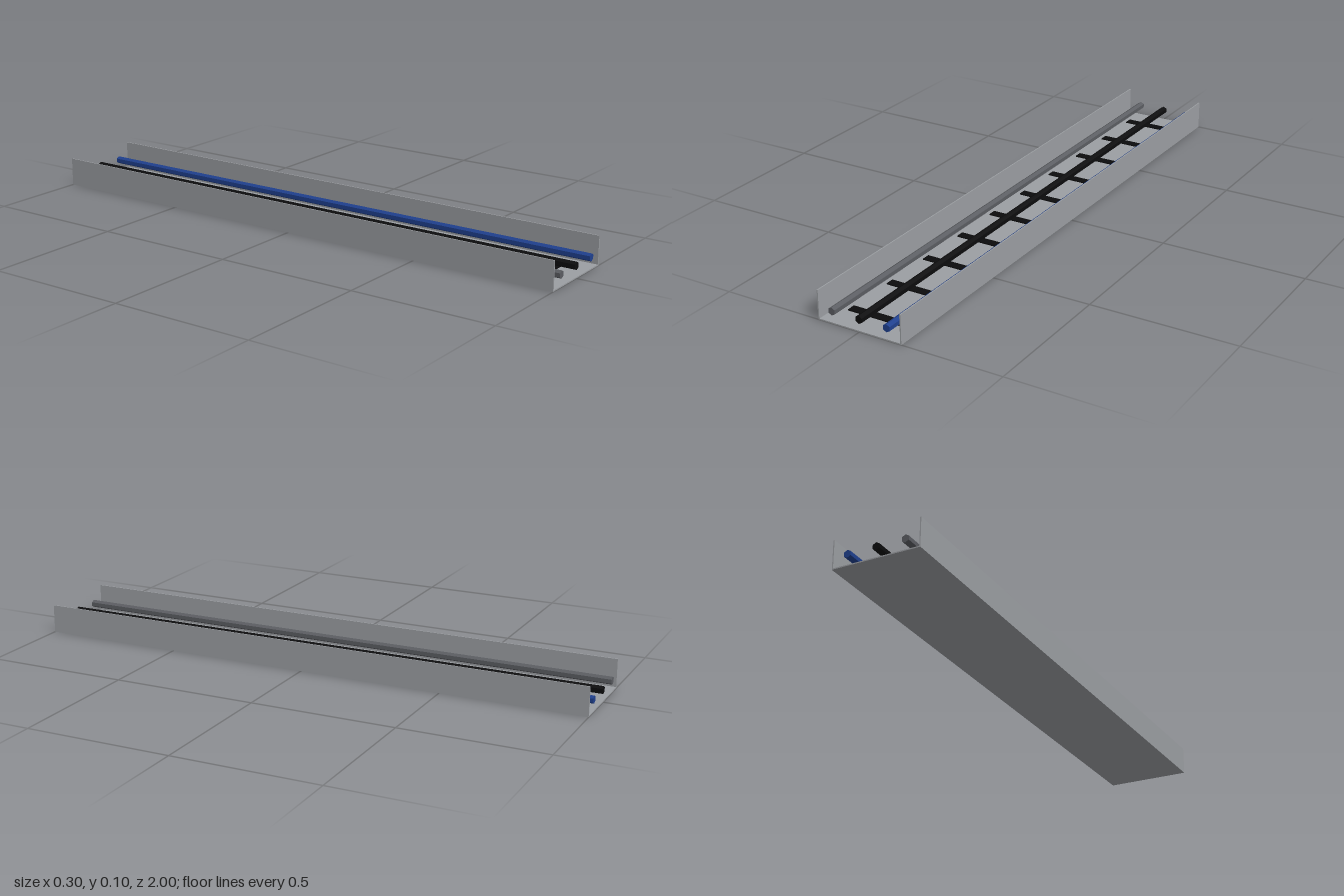
import * as THREE from 'three';

const material = (name, color) => {
  const m = new THREE.MeshStandardMaterial({ color });
  m.name = name;
  return m;
};

export function createModel() {
  const group = new THREE.Group();
  group.name = 'cableTray';
  const steel = material('galvanised grey', 0x9b9ea2);
  const black = material('black', 0x0c0c0d);
  const grey = material('dark grey', 0x5b5d62);
  const blue = material('blue', 0x1f408e);

  const add = (name, geometry, mat, x, y, z = 0) => {
    const mesh = new THREE.Mesh(geometry, mat);
    mesh.name = name;
    mesh.position.set(x, y, z);
    group.add(mesh);
  };

  // Tray: floor and two side walls
  const length = 2, halfWidth = 0.152, sheet = 0.004, height = 0.1;
  add('trayFloor', new THREE.BoxGeometry(halfWidth * 2, sheet, length), steel, 0, sheet / 2);
  for (const side of [-1, 1]) {
    add(side > 0 ? 'leftWall' : 'rightWall',
      new THREE.BoxGeometry(sheet, height - sheet, length), steel,
      side * (halfWidth - sheet / 2), (height + sheet) / 2);
  }

  // Dark slots across the floor
  const slot = new THREE.BoxGeometry(0.21, 0.004, 0.03);
  for (let i = 0; i < 10; i++) add('floorSlot', slot, black, 0, 0.006, -0.9 + i * 0.2);

  // Hexagonal cables running lengthwise, points up; non-indexed for flat sides
  const cable = new THREE.CylinderGeometry(0.0135, 0.0135, length, 6)
    .rotateX(Math.PI / 2).toNonIndexed();
  cable.computeVertexNormals();
  add('rightCable', cable, grey, -0.1, 0.041);
  add('middleCable', cable, black, 0, 0.041);
  add('leftCable', cable, blue, 0.1, 0.041);

  return group;
}
